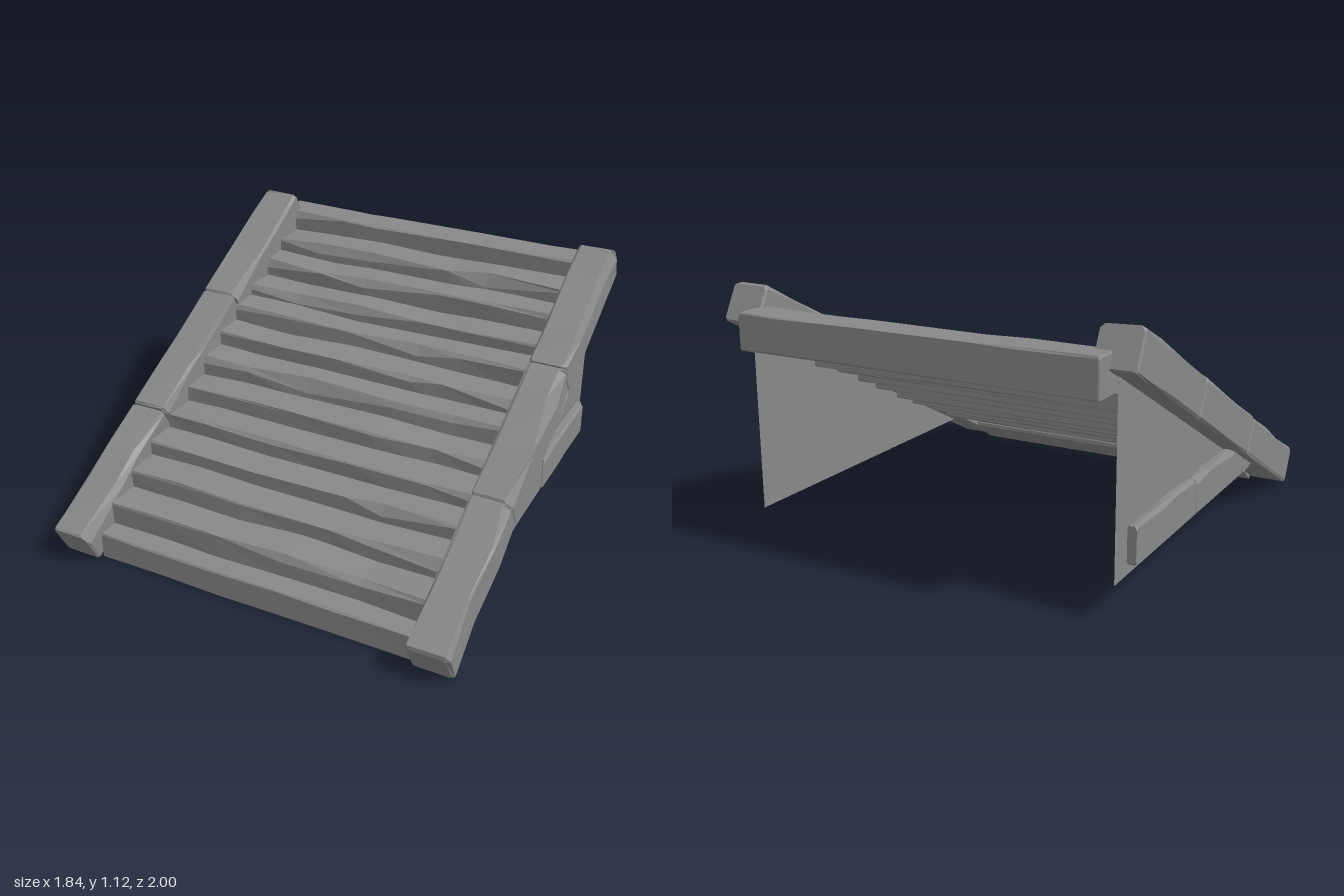
import * as THREE from 'three';

const stoneMaterial = new THREE.MeshStandardMaterial({ color: 0x888888, flatShading: true });
const wallMaterial = new THREE.MeshStandardMaterial({ color: 0x888888, side: THREE.DoubleSide });

// Small seeded random source, returning -1..1
let seed = 11;
const rnd = () => {
  seed = (seed * 16807) % 2147483647;
  return (seed / 2147483647) * 2 - 1;
};

// Rough-hewn block along x: chamfered cross-sections lofted with slight wear.
// skew raises the back of the underside, chip cuts into the upper front edge here and there.
function stone(name, length, height, depth, { rings = 5, bevel = 0.01, wear = 0.01, skew = 0, chip = 0 } = {}) {
  const pos = [], index = [], n = 8;
  const stations = [[-0.5, 1], [-0.5 + bevel / length, 0]];
  for (let i = 1; i < rings; i++) stations.push([-0.5 + (i + rnd() * 0.35) / rings, 0]);
  stations.push([0.5 - bevel / length, 0], [0.5, 1]);
  for (const [u, isEnd] of stations) {
    const inset = isEnd ? bevel * 0.6 : 0;
    const h = height / 2 - inset, d = depth / 2 - inset;
    const c = () => bevel * (1 + rnd() * 0.6);
    const cut = Math.max(0, rnd()) * chip;
    const top = rnd() * wear, front = rnd() * wear;
    const ring = [
      [h, -d + c()], [h, d - c() - cut * 0.6], [h - c() - cut, d], [-h + c(), d],
      [-h, d - c()], [-h, -d + c()], [-h + c(), -d], [h - c(), -d],
    ];
    ring.forEach(([y, z], j) => {
      if (j < 2) y += top + rnd() * wear * 0.4;
      if (j > 0 && j < 4) z += front + rnd() * wear * 0.4;
      if (j === 5 || j === 6) y += skew;
      pos.push(u * length, y, z);
    });
  }
  const last = stations.length - 1;
  for (let i = 0; i < last; i++) {
    for (let j = 0; j < n; j++) {
      const k = (j + 1) % n;
      const a = i * n + j, b = i * n + k, c = a + n, d = b + n;
      index.push(a, b, d, a, d, c);
    }
  }
  // End caps
  for (let j = 1; j < n - 1; j++) {
    index.push(0, j + 1, j);
    index.push(last * n, last * n + j, last * n + j + 1);
  }
  const geometry = new THREE.BufferGeometry();
  geometry.setAttribute('position', new THREE.Float32BufferAttribute(pos, 3));
  geometry.setIndex(index);
  const flat = geometry.toNonIndexed();
  flat.computeVertexNormals();
  const mesh = new THREE.Mesh(flat, stoneMaterial);
  mesh.name = name;
  return mesh;
}

export function createModel() {
  seed = 11;
  const model = new THREE.Group();
  model.name = 'staircase';

  // Steps: top height and front position of each slab
  const tops = [0.12, 0.22, 0.3, 0.37, 0.44, 0.51, 0.59, 0.66, 0.735, 0.79, 0.87, 0.94];
  const fronts = [0.9, 0.8, 0.65, 0.5, 0.35, 0.2, 0.05, -0.09, -0.24, -0.38, -0.53, -0.67];
  tops.forEach((top, i) => {
    const height = i < 2 ? 0.12 : 0.13;
    const depth = i === 0 ? 0.14 : 0.165;
    const step = stone('step', i === 0 ? 1.49 : 1.52 + rnd() * 0.02, height, depth, {
      bevel: 0.006, wear: i ? 0.009 : 0.002, skew: i < 2 ? 0.09 : 0.045, chip: i ? 0.05 : 0,
    });
    step.position.set(0, top - height / 2, fronts[i] - depth / 2);
    model.add(step);
  });

  // Landing slab at the top
  const landing = stone('landing', 1.58, 0.155, 0.16, { bevel: 0.006, wear: 0.006, chip: 0.04 });
  landing.position.set(-0.02, 0.947, -0.915);
  model.add(landing);

  // Centre line of the sloping curbs
  const low = new THREE.Vector3(0, 0.077, 0.965);
  const high = new THREE.Vector3(0, 1.04, -0.885);
  const slope = Math.atan2(high.y - low.y, low.z - high.z);
  const run = low.distanceTo(high);

  for (const side of [-1, 1]) {
    const flank = new THREE.Group();
    flank.name = side > 0 ? 'leftFlank' : 'rightFlank';

    // Sloping curb of three stones
    for (let i = 0; i < 3; i++) {
      const curb = stone('curbStone', run / 3 - 0.003, 0.166, 0.174, { rings: 3, bevel: 0.01, wear: 0.008, chip: 0.05 });
      curb.position.lerpVectors(low, high, (i + 0.5) / 3);
      curb.position.x = side * 0.828;
      curb.rotation.set(0, Math.PI / 2, slope);
      flank.add(curb);
    }

    // Thin triangular side wall
    const outline = new THREE.Shape([
      new THREE.Vector2(-0.65, 0.15), new THREE.Vector2(0.86, 0.15), new THREE.Vector2(0.86, 0.97),
    ]);
    const wall = new THREE.Mesh(new THREE.ShapeGeometry(outline), wallMaterial);
    wall.name = 'sideWall';
    wall.rotation.y = Math.PI / 2;
    wall.position.x = side * 0.818;
    flank.add(wall);

    // Row of trim stones along the outer foot of the wall
    for (const [from, to] of [[0.55, 0.412], [0.408, -0.17], [-0.18, -0.765]]) {
      const trim = stone('trimStone', from - to, 0.16, 0.045, { rings: 3, bevel: 0.009, wear: 0.004, chip: 0.03 });
      trim.position.set(side * 0.842, 0.277, (from + to) / 2);
      trim.rotation.y = side * Math.PI / 2;
      flank.add(trim);
    }
    model.add(flank);
  }
  return model;
}
